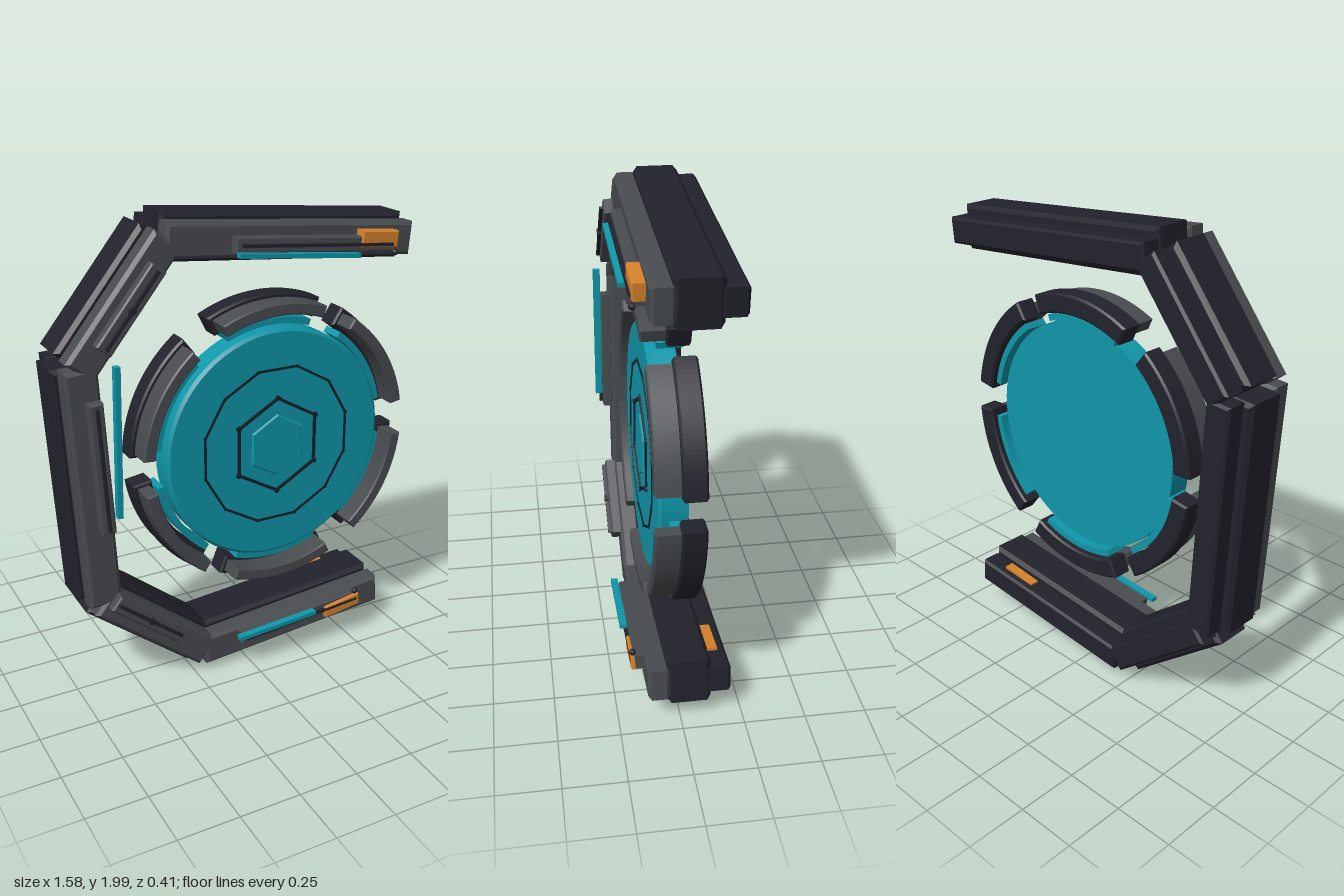
import * as THREE from 'three';

const mat = (name, color) => {
  const m = new THREE.MeshStandardMaterial({ color });
  m.name = name;
  return m;
};

export function createModel() {
  const root = new THREE.Group();
  root.name = 'bracketAndDisc';
  const dark = mat('dark navy', 0x22222c);
  const grey = mat('slate grey', 0x484c4f);
  const teal = mat('teal', 0x1097aa);
  const orange = mat('orange', 0xd6822a);
  const black = mat('trim black', 0x14212a);

  const add = (parent, name, geo, material, x = 0, y = 0, z = 0, rot = 0) => {
    const mesh = new THREE.Mesh(geo, material);
    mesh.name = name;
    mesh.position.set(x, y, z);
    mesh.rotation.z = rot;
    parent.add(mesh);
    return mesh;
  };

  // Extrude a shape between two depths, chamfering its front and back edges inside the outline
  const slab = (shape, z0, z1, bevel = 0, curveSegments = 14) => {
    const geo = new THREE.ExtrudeGeometry(shape, {
      depth: z1 - z0 - 2 * bevel, bevelEnabled: bevel > 0, bevelThickness: bevel,
      bevelSize: bevel, bevelOffset: -bevel, bevelSegments: 1, curveSegments,
    });
    return geo.translate(0, 0, z0 + bevel);
  };
  const rect = (x0, x1, y0, y1) => new THREE.Shape([
    new THREE.Vector2(x0, y0), new THREE.Vector2(x1, y0),
    new THREE.Vector2(x1, y1), new THREE.Vector2(x0, y1),
  ]);
  const polygon = (n, r, turn) => Array.from({ length: n }, (_, i) => {
    const a = turn + (i / n) * Math.PI * 2;
    return new THREE.Vector2(Math.cos(a) * r, Math.sin(a) * r);
  });
  const polyRing = (n, r, width, turn) => {
    const shape = new THREE.Shape(polygon(n, r, turn));
    shape.holes.push(new THREE.Path(polygon(n, r - width, turn).reverse()));
    return shape;
  };
  const sector = (r0, r1, half) => {
    const shape = new THREE.Shape();
    shape.absarc(0, 0, r1, -half, half, false);
    shape.absarc(0, 0, r0, half, -half, true);
    return shape;
  };

  // Five-sided open bracket: each beam is a body with a back rail and a front rail
  const nodes = [[0.748, 1.812], [-0.34, 1.907], [-0.70, 1.458], [-0.645, 0.468], [-0.195, 0.105], [0.673, 0.18]];
  const beamNames = ['topBeam', 'upperCornerBeam', 'sideBeam', 'lowerCornerBeam', 'bottomBeam'];
  beamNames.forEach((name, i) => {
    const [ax, ay] = nodes[i], [bx, by] = nodes[i + 1];
    const len = Math.hypot(bx - ax, by - ay);
    const beam = new THREE.Group();
    beam.name = name;
    beam.position.set((ax + bx) / 2, (ay + by) / 2, 0);
    beam.rotation.z = Math.atan2(by - ay, bx - ax);
    const h = len / 2;
    add(beam, 'beamBody', slab(rect(-h, h, -0.094, 0.094), -0.125, 0.052, 0.016), dark);
    add(beam, 'backRail', slab(rect(-h, h, -0.055, 0.055), -0.205, -0.11, 0.01), dark);
    add(beam, 'frontRail', slab(rect(-h - 0.008, h + 0.008, -0.068, 0.068), 0.04, 0.13, 0.014), grey);
    root.add(beam);
  });

  // Raised panels with a thin dark bar on the front of every beam: x, y, length, width, angle
  const panels = [
    [0.285, 1.84, 0.73, 0.062, -0.09],
    [-0.508, 1.68, 0.37, 0.072, 0.895],
    [-0.648, 1.07, 0.545, 0.06, -1.516],
    [-0.474, 0.365, 0.37, 0.072, -0.68],
    [0.25, 0.172, 0.6, 0.06, 0.09],
  ];
  panels.forEach(([x, y, len, width, angle], i) => {
    const panel = new THREE.Group();
    panel.name = 'frontPanel' + (i + 1);
    panel.position.set(x, y, 0);
    panel.rotation.z = angle;
    add(panel, 'panelPlate', slab(rect(-len / 2, len / 2, -width / 2, width / 2), 0.12, 0.17, 0.006), grey);
    add(panel, 'panelBar', new THREE.BoxGeometry(len * 0.94, 0.012, 0.02), dark, 0, 0, 0.175);
    if (i === 1 || i === 3) {
      const stud = add(panel, 'panelStud', new THREE.CylinderGeometry(0.014, 0.014, 0.02, 6), dark, 0, 0, 0.178);
      stud.rotation.x = Math.PI / 2;
    }
    root.add(panel);
  });
  add(root, 'topBarKnob', new THREE.SphereGeometry(0.014, 8, 6), dark, 0.64, 1.775, 0.175);
  add(root, 'bottomBarKnob', new THREE.SphereGeometry(0.014, 8, 6), dark, 0.525, 0.235, 0.175);

  // Teal light strips
  add(root, 'topStrip', new THREE.BoxGeometry(0.54, 0.018, 0.03), teal, 0.19, 1.812, 0.187, -0.1);
  add(root, 'sideStrip', new THREE.BoxGeometry(0.022, 0.61, 0.03), teal, -0.592, 1.18, 0.19, -0.022);
  add(root, 'bottomStrip', new THREE.BoxGeometry(0.38, 0.018, 0.03), teal, 0.115, 0.182, 0.187, 0.07);

  // Orange blocks
  add(root, 'topBlock', slab(rect(-0.087, 0.087, -0.033, 0.033), 0.12, 0.178, 0.005), orange, 0.568, 1.835, 0, -0.09);
  add(root, 'bottomBlock', slab(rect(-0.09, 0.09, -0.028, 0.028), 0.12, 0.184, 0.005), orange, 0.458, 0.18, 0, 0.16);
  add(root, 'backMarker', new THREE.BoxGeometry(0.18, 0.02, 0.04), orange, 0.458, 0.217, -0.15, 0.11);

  // Central disc with a chamfered front edge
  const hub = new THREE.Group();
  hub.name = 'discAssembly';
  hub.position.set(0.156, 0.993, 0);
  root.add(hub);
  const cyl = (rTop, rBottom, z0, z1) =>
    new THREE.CylinderGeometry(rTop, rBottom, z1 - z0, 72).rotateX(Math.PI / 2).translate(0, 0, (z0 + z1) / 2);
  add(hub, 'disc', cyl(0.503, 0.503, -0.025, 0.075), teal);
  add(hub, 'discChamfer', cyl(0.49, 0.503, 0.075, 0.087), teal);

  // Polygon outlines and the raised centre plate
  add(hub, 'outerOutline', slab(polyRing(12, 0.351, 0.01, Math.PI / 12), 0.08, 0.092), black);
  add(hub, 'hexOutline', slab(polyRing(6, 0.215, 0.014, Math.PI / 2), 0.08, 0.095), black);
  const joint = new THREE.CylinderGeometry(0.011, 0.011, 0.016, 8).rotateX(Math.PI / 2);
  polygon(6, 0.21, Math.PI / 2).forEach((p) => add(hub, 'hexJoint', joint, black, p.x, p.y, 0.089));
  const smallJoint = new THREE.CylinderGeometry(0.007, 0.007, 0.014, 6).rotateX(Math.PI / 2);
  polygon(12, 0.346, Math.PI / 12).forEach((p) => add(hub, 'outlineJoint', smallJoint, black, p.x, p.y, 0.087));
  add(hub, 'centrePlate', slab(new THREE.Shape(polygon(6, 0.138, Math.PI / 2)), 0.08, 0.096, 0.005), teal);

  // Six ring segments around the disc, each with a grey face and a teal inner liner
  const deg = Math.PI / 180;
  const shell = slab(sector(0.548, 0.633, 24.4 * deg), -0.077, 0.018, 0.008);
  const face = slab(sector(0.564, 0.615, 22.8 * deg), 0.01, 0.115, 0.006);
  const liner = slab(sector(0.513, 0.541, 21.2 * deg), -0.055, 0.05);
  for (let i = 0; i < 6; i++) {
    const segment = new THREE.Group();
    segment.name = 'ringSegment' + (i + 1);
    segment.rotation.z = (32.5 + i * 60) * deg;
    add(segment, 'segmentShell', shell, dark);
    add(segment, 'segmentFace', face, grey);
    add(segment, 'segmentLiner', liner, teal);
    hub.add(segment);
  }
  return root;
}
